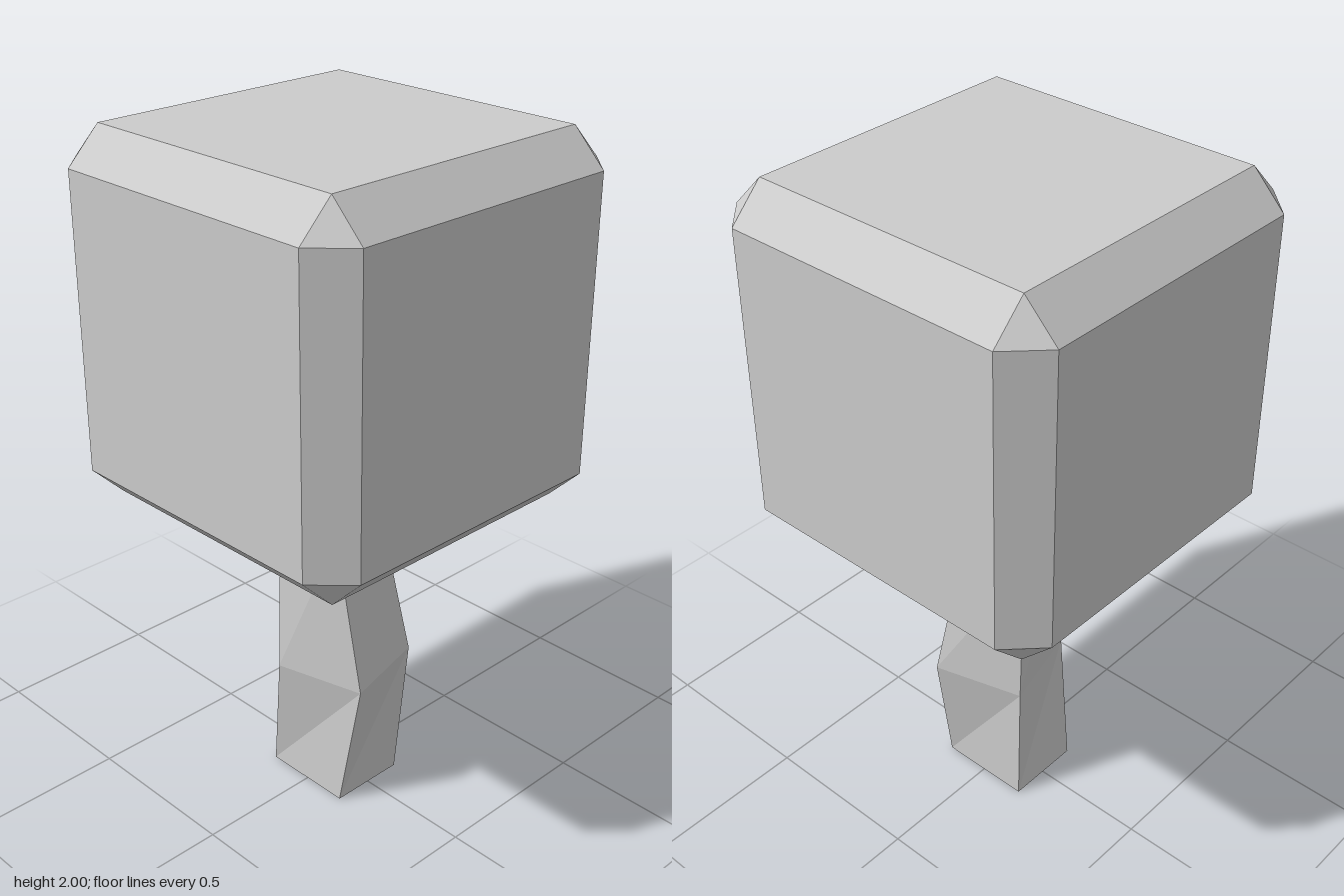
import * as THREE from 'three';
import { ConvexGeometry } from 'three/addons/geometries/ConvexGeometry.js';

const material = new THREE.MeshStandardMaterial({ color: 0xcccccc, flatShading: true });

// Cube with every edge and corner cut flat: three points at each corner
function chamferedCube(half, cut) {
  const inner = half - cut;
  const points = [];
  for (const x of [-1, 1]) for (const y of [-1, 1]) for (const z of [-1, 1]) {
    points.push(
      new THREE.Vector3(x * half, y * inner, z * inner),
      new THREE.Vector3(x * inner, y * half, z * inner),
      new THREE.Vector3(x * inner, y * inner, z * half));
  }
  return new ConvexGeometry(points);
}

// Skin over four-cornered sections, listed from bottom to top
function loft(sections) {
  const n = 4;
  const positions = [];
  for (const { y, corners } of sections) for (const [x, z] of corners) positions.push(x, y, z);
  const index = [];
  for (let s = 0; s < sections.length - 1; s++) {
    for (let i = 0; i < n; i++) {
      const a = s * n + i, b = s * n + (i + 1) % n;
      index.push(a, b, b + n, a, b + n, a + n);
    }
  }
  const top = (sections.length - 1) * n;
  index.push(0, 2, 1, 0, 3, 2, top, top + 1, top + 2, top, top + 2, top + 3);
  const geometry = new THREE.BufferGeometry();
  geometry.setAttribute('position', new THREE.Float32BufferAttribute(positions, 3));
  geometry.setIndex(index);
  const flat = geometry.toNonIndexed();
  flat.computeVertexNormals();
  return flat;
}

export function createModel() {
  const group = new THREE.Group();
  group.name = 'blockTree';

  // Block-shaped crown
  const crown = new THREE.Mesh(chamferedCube(0.527, 0.1), material);
  crown.name = 'crown';
  crown.position.y = 1.473;
  group.add(crown);

  // Crooked trunk, corners as [x, z]: front left, front right, back right, back left
  const trunk = new THREE.Mesh(loft([
    { y: 0, corners: [[-0.145, 0.12], [0.14, 0.12], [0.14, -0.115], [-0.145, -0.115]] },
    { y: 0.4, corners: [[-0.07, 0.165], [0.2, 0.095], [0.13, -0.18], [-0.14, -0.105]] },
    { y: 0.87, corners: [[-0.105, 0.12], [0.1, 0.095], [0.07, -0.11], [-0.135, -0.085]] },
    { y: 1.0, corners: [[-0.095, 0.115], [0.085, 0.095], [0.06, -0.105], [-0.12, -0.085]] },
  ]), material);
  trunk.name = 'trunk';
  group.add(trunk);

  return group;
}
